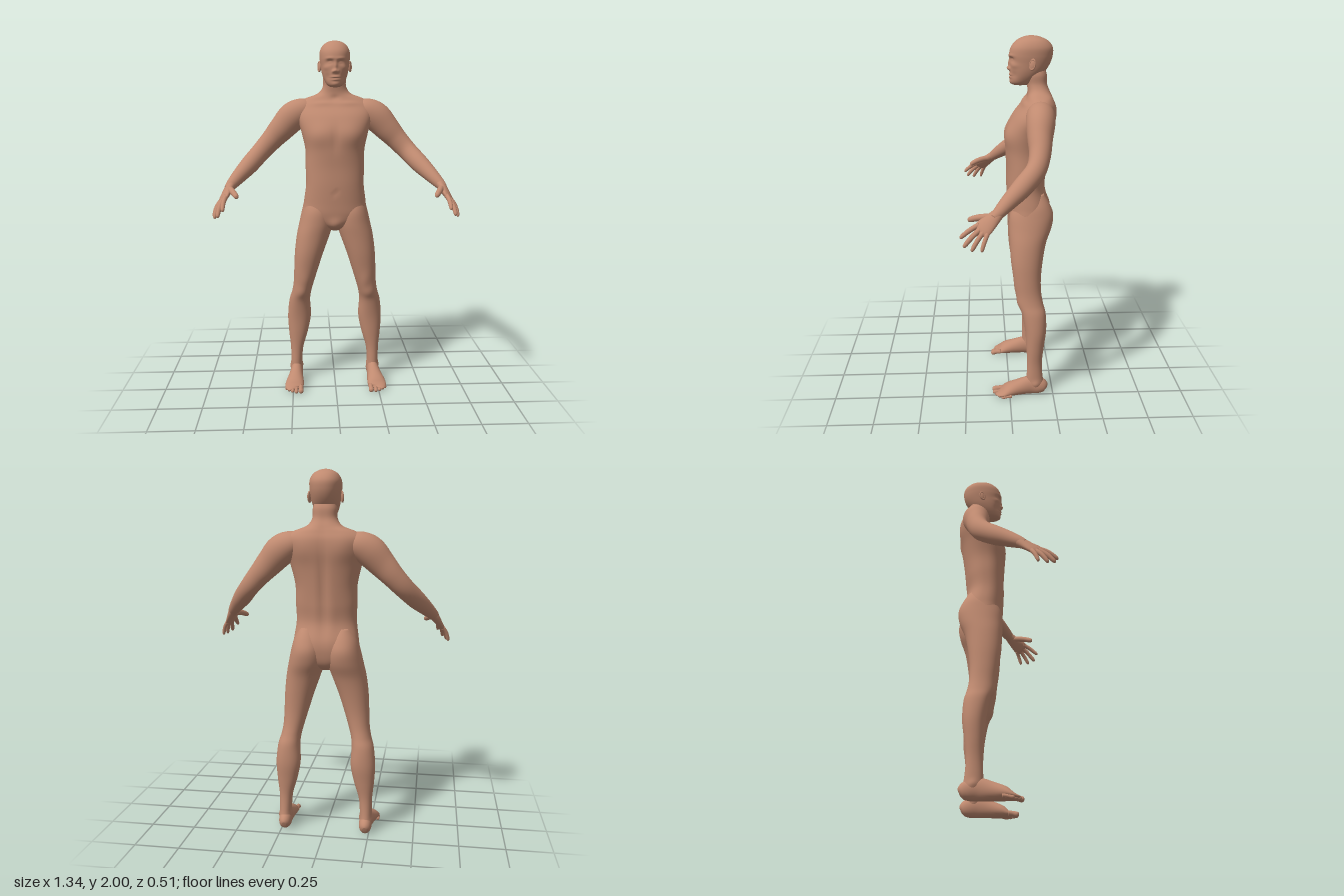
import * as THREE from 'three';

const V = (x, y, z) => new THREE.Vector3(x, y, z);
const UP = V(0, 1, 0);
const skin = new THREE.MeshStandardMaterial({ color: 0xc08a70 });
skin.name = 'skin';

const spline = (a, b, c, d, t) => 0.5 * (2 * b + (c - a) * t
  + (2 * a - 5 * b + 4 * c - d) * t * t + (3 * b - a - 3 * c + d) * t * t * t);

// Smooth skin through elliptical sections [x, y, z, radius along wide, other radius].
function loft(rows, { wide = V(1, 0, 0), axis = null, segs = 32, steps = 5, power = 2 } = {}) {
  const rings = [], last = rows.length - 1;
  for (let i = 0; i <= last * steps; i++) {
    const k = Math.min(Math.floor(i / steps), last - 1), t = i / steps - k;
    const r = j => rows[Math.max(0, Math.min(last, k + j))];
    rings.push(rows[0].map((_, c) => spline(r(-1)[c], r(0)[c], r(1)[c], r(2)[c], t)));
  }
  const pos = [], idx = [], n = rings.length;
  const round = v => Math.sign(v) * Math.abs(v) ** (2 / power);
  const centre = i => V(...rings[Math.max(0, Math.min(n - 1, i))].slice(0, 3));
  rings.forEach((ring, i) => {
    const T = axis || centre(i + 1).sub(centre(i - 1)).normalize();
    const A = wide.clone().addScaledVector(T, -wide.dot(T)).normalize();
    const B = T.clone().cross(A);
    for (let s = 0; s < segs; s++) {
      const q = s / segs * Math.PI * 2;
      const p = centre(i).addScaledVector(A, round(Math.cos(q)) * Math.max(ring[3], 0.001))
        .addScaledVector(B, round(Math.sin(q)) * Math.max(ring[4], 0.001));
      pos.push(p.x, p.y, p.z);
    }
  });
  pos.push(...centre(0).toArray(), ...centre(n - 1).toArray());
  for (let s = 0; s < segs; s++) {
    const e = (s + 1) % segs;
    for (let i = 0; i < n - 1; i++) {
      const a = i * segs + s, b = i * segs + e;
      idx.push(a, b, b + segs, a, b + segs, a + segs);
    }
    idx.push(n * segs, e, s, n * segs + 1, (n - 1) * segs + s, (n - 1) * segs + e);
  }
  const geo = new THREE.BufferGeometry();
  geo.setAttribute('position', new THREE.Float32BufferAttribute(pos, 3));
  geo.setIndex(idx);
  geo.computeVertexNormals();
  return geo;
}

// Push the surface along its normal with soft bumps [x, y, z, rx, ry, rz, amount].
function sculpt(geo, bumps) {
  const p = geo.attributes.position, nm = geo.attributes.normal;
  for (let i = 0; i < p.count; i++) {
    let d = 0;
    for (const [x, y, z, rx, ry, rz, amount] of bumps) {
      d += amount * Math.exp(-(((p.getX(i) - x) / rx) ** 2)
        - ((p.getY(i) - y) / ry) ** 2 - ((p.getZ(i) - z) / rz) ** 2);
    }
    p.setXYZ(i, p.getX(i) + nm.getX(i) * d, p.getY(i) + nm.getY(i) * d, p.getZ(i) + nm.getZ(i) * d);
  }
  geo.computeVertexNormals();
  return geo;
}

const both = bumps => bumps.flatMap(b => [b, [-b[0], ...b.slice(1)]]);
// [y, x min, x max, z front, z back] to a section
const level = ([y, x0, x1, f, b]) => [(x0 + x1) / 2, y, (f + b) / 2, (x1 - x0) / 2, (f - b) / 2];
const centred = ([y, w, f, b]) => level([y, -w, w, f, b]);

export function createModel() {
  const model = new THREE.Group();
  model.name = 'standingFigure';
  const add = (name, geo) => {
    const mesh = new THREE.Mesh(geo, skin);
    mesh.name = name;
    model.add(mesh);
    return mesh;
  };

  // Torso and neck
  add('torso', sculpt(loft([
    [0.935, 0.03, -0.06, -0.15], [0.97, 0.1, -0.015, -0.2], [1.03, 0.178, 0, -0.222],
    [1.1, 0.178, 0.005, -0.225], [1.2, 0.165, 0.01, -0.197], [1.3, 0.167, 0.01, -0.208],
    [1.4, 0.168, 0.015, -0.222], [1.5, 0.19, 0.01, -0.236], [1.58, 0.212, -0.022, -0.248],
    [1.64, 0.212, -0.068, -0.248], [1.68, 0.17, -0.095, -0.236], [1.71, 0.095, -0.103, -0.224],
    [1.75, 0.066, -0.1, -0.208], [1.8, 0.064, -0.09, -0.205], [1.84, 0.05, -0.1, -0.19],
  ].map(centred), { axis: UP, segs: 72, steps: 6, power: 2.25 }), [
    ...both([
      [0.085, 1.48, 0, 0.07, 0.06, 0.06, 0.013],      // chest
      [0.1, 1.6, -0.245, 0.06, 0.08, 0.05, 0.009],    // shoulder blade
      [0.04, 1.22, -0.2, 0.03, 0.12, 0.05, 0.005],    // lower back
      [0.07, 1.655, -0.085, 0.06, 0.012, 0.04, 0.005], // collar bone
    ]),
    [0, 1.42, -0.225, 0.022, 0.22, 0.06, -0.013],     // spine
    [0, 1.47, 0.01, 0.018, 0.07, 0.05, -0.006],       // breastbone
    [0, 1.16, 0.01, 0.012, 0.012, 0.04, -0.006],      // navel
    [0, 1.685, -0.1, 0.02, 0.015, 0.04, -0.006],
    [0, 0.98, -0.01, 0.03, 0.03, 0.04, 0.01],
  ]));

  // Head with face
  add('head', sculpt(loft([
    [1.745, 0.022, -0.032, -0.1], [1.757, 0.043, -0.016, -0.13], [1.785, 0.06, -0.01, -0.165],
    [1.82, 0.072, -0.009, -0.198], [1.86, 0.079, -0.009, -0.222], [1.9, 0.084, -0.005, -0.234],
    [1.94, 0.083, -0.014, -0.233], [1.973, 0.066, -0.042, -0.207], [1.992, 0.037, -0.078, -0.166],
    [1.999, 0.008, -0.112, -0.13],
  ].map(centred), { axis: UP, segs: 112, steps: 10, power: 2.15 }), [
    ...both([
      [0.032, 1.879, -0.012, 0.018, 0.012, 0.03, -0.013], // eye socket
      [0.032, 1.877, -0.015, 0.012, 0.007, 0.03, 0.006],  // eyelid
      [0.03, 1.899, -0.01, 0.025, 0.008, 0.03, 0.004],    // brow
      [0.05, 1.85, -0.03, 0.02, 0.014, 0.03, 0.004],      // cheek
      [0.013, 1.829, -0.005, 0.007, 0.008, 0.03, 0.007],  // nostril
      [0.045, 1.8, -0.025, 0.018, 0.02, 0.03, -0.004],
    ]),
    [0, 1.832, -0.005, 0.011, 0.011, 0.04, 0.014],        // nose tip
    [0, 1.858, -0.005, 0.009, 0.022, 0.04, 0.009],        // nose bridge
    [0, 1.8, -0.01, 0.022, 0.006, 0.04, 0.006],           // upper lip
    [0, 1.786, -0.01, 0.019, 0.006, 0.04, 0.006],         // lower lip
    [0, 1.793, -0.01, 0.024, 0.0025, 0.04, -0.005],       // mouth
    [0, 1.763, -0.018, 0.02, 0.012, 0.03, 0.006],         // chin
  ]));

  for (const s of [1, -1]) {
    const side = s > 0 ? 'left' : 'right';
    const flip = rows => rows.map(([x, ...rest]) => [x * s, ...rest]);

    // Ear: a shell with a rolled rim
    const rim = add(side + 'EarRim', new THREE.TorusGeometry(0.02, 0.005, 10, 28));
    const shell = add(side + 'Ear', new THREE.SphereGeometry(0.02, 20, 14));
    for (const part of [rim, shell]) {
      part.position.set(0.086 * s, 1.858, -0.122);
      part.rotation.set(-0.2, s * 1.15, 0, 'XYZ');
    }
    rim.scale.set(0.75, 1.25, 1);
    shell.scale.set(0.75, 1.3, 0.28);

    // Leg with hip and buttock
    add(side + 'Leg', sculpt(loft(flip([
      [0.02, 0.205, 0.255, -0.12, -0.195], [0.06, 0.197, 0.265, -0.1, -0.2],
      [0.11, 0.197, 0.265, -0.098, -0.194], [0.2, 0.19, 0.265, -0.1, -0.185],
      [0.3, 0.162, 0.275, -0.095, -0.195], [0.4, 0.143, 0.28, -0.088, -0.207],
      [0.5, 0.147, 0.27, -0.07, -0.203], [0.56, 0.14, 0.253, -0.05, -0.188],
      [0.62, 0.124, 0.243, -0.038, -0.178], [0.7, 0.1, 0.239, -0.024, -0.176],
      [0.8, 0.068, 0.234, -0.01, -0.186], [0.9, 0.032, 0.222, -0.004, -0.205],
      [0.98, 0.006, 0.205, -0.001, -0.235], [1.05, 0.006, 0.189, -0.006, -0.245],
      [1.11, 0.02, 0.172, -0.03, -0.225], [1.17, 0.05, 0.14, -0.06, -0.19],
    ].map(level)), { axis: UP, segs: 40, power: 2.1 }), [
      [0.195 * s, 0.56, -0.045, 0.03, 0.035, 0.03, 0.006],  // kneecap
      [0.175 * s, 0.64, -0.04, 0.025, 0.05, 0.04, 0.005],   // inner thigh muscle
      [0.23 * s, 0.11, -0.19, 0.05, 0.06, 0.03, -0.004],    // heel tendon
      [0.198 * s, 0.085, -0.14, 0.02, 0.018, 0.02, 0.006],  // ankle bones
      [0.265 * s, 0.075, -0.15, 0.02, 0.018, 0.02, 0.006],
    ]));

    // Foot with a flat sole
    const foot = loft(flip([
      [0.23, 0.035, -0.212, 0.012, 0.018], [0.23, 0.04, -0.2, 0.028, 0.036],
      [0.23, 0.048, -0.17, 0.036, 0.05], [0.231, 0.054, -0.12, 0.036, 0.056],
      [0.235, 0.045, -0.06, 0.042, 0.047], [0.24, 0.034, 0, 0.052, 0.036],
      [0.244, 0.022, 0.035, 0.053, 0.022], [0.244, 0.017, 0.055, 0.044, 0.013],
      [0.24, 0.016, 0.066, 0.03, 0.006],
    ]), { segs: 36 });
    const fp = foot.attributes.position;
    for (let i = 0; i < fp.count; i++) fp.setY(i, Math.max(fp.getY(i), 0));
    foot.computeVertexNormals();
    add(side + 'Foot', foot);
    [[0.205, 0.1, 0.015], [0.232, 0.098, 0.011], [0.254, 0.085, 0.0105],
      [0.273, 0.068, 0.01], [0.289, 0.05, 0.0095]].forEach(([x, z, r], i) => {
      add(`${side}Toe${i + 1}`, loft(flip([
        [x, r + 0.006, z - 0.06, r, r], [x, r + 0.004, z - 0.035, r * 0.85, r * 0.9],
        [x, r, z - 0.014, r, r], [x, r, z - 0.004, r * 0.75, r * 0.75], [x, r, z, r * 0.2, r * 0.2],
      ]), { segs: 16, steps: 4 }));
    });

    // Arm from shoulder to wrist
    add(side + 'Arm', loft(flip([
      [0.1, 1.63, -0.16, 0.03, 0.04], [0.165, 1.618, -0.16, 0.068, 0.07],
      [0.235, 1.582, -0.155, 0.083, 0.075], [0.3, 1.515, -0.148, 0.073, 0.064],
      [0.36, 1.45, -0.143, 0.061, 0.055], [0.42, 1.385, -0.118, 0.055, 0.05],
      [0.48, 1.32, -0.05, 0.051, 0.05], [0.535, 1.263, 0.02, 0.04, 0.04],
      [0.573, 1.222, 0.068, 0.03, 0.03], [0.59, 1.2, 0.09, 0.024, 0.02],
    ]), { wide: V(0, 1, 0), segs: 36 }));

    // Hand
    const across = V(0.037 * s, -0.03, -0.045);
    add(side + 'Palm', loft(flip([
      [0.56, 1.236, 0.052, 0.026, 0.026], [0.578, 1.215, 0.076, 0.031, 0.025],
      [0.594, 1.187, 0.108, 0.039, 0.021], [0.607, 1.162, 0.138, 0.046, 0.017],
      [0.613, 1.148, 0.153, 0.042, 0.014], [0.617, 1.14, 0.163, 0.028, 0.007],
    ]), { wide: across, segs: 28 }));
    const digit = (name, from, to, r) => {
      const a = V(...from), b = V(...to);
      const rows = [[0, 1.05, 0], [0.3, 1, 0.006], [0.6, 0.95, 0.007], [0.85, 0.85, 0.003],
        [0.96, 0.6, 0], [1, 0.15, 0]].map(([t, k, lift]) => {
        const p = a.clone().lerp(b, t);
        return [p.x + lift * 0.5, p.y + lift, p.z, r * k, r * k];
      });
      add(side + name, loft(flip(rows), { wide: across, segs: 16, steps: 4 }));
    };
    digit('IndexFinger', [0.593, 1.172, 0.16], [0.604, 1.108, 0.255], 0.0125);
    digit('MiddleFinger', [0.608, 1.156, 0.154], [0.633, 1.073, 0.238], 0.013);
    digit('RingFinger', [0.62, 1.146, 0.14], [0.654, 1.06, 0.2], 0.012);
    digit('LittleFinger', [0.63, 1.14, 0.122], [0.664, 1.06, 0.152], 0.011);
    digit('Thumb', [0.578, 1.203, 0.1], [0.529, 1.174, 0.216], 0.017);
  }
  return model;
}
